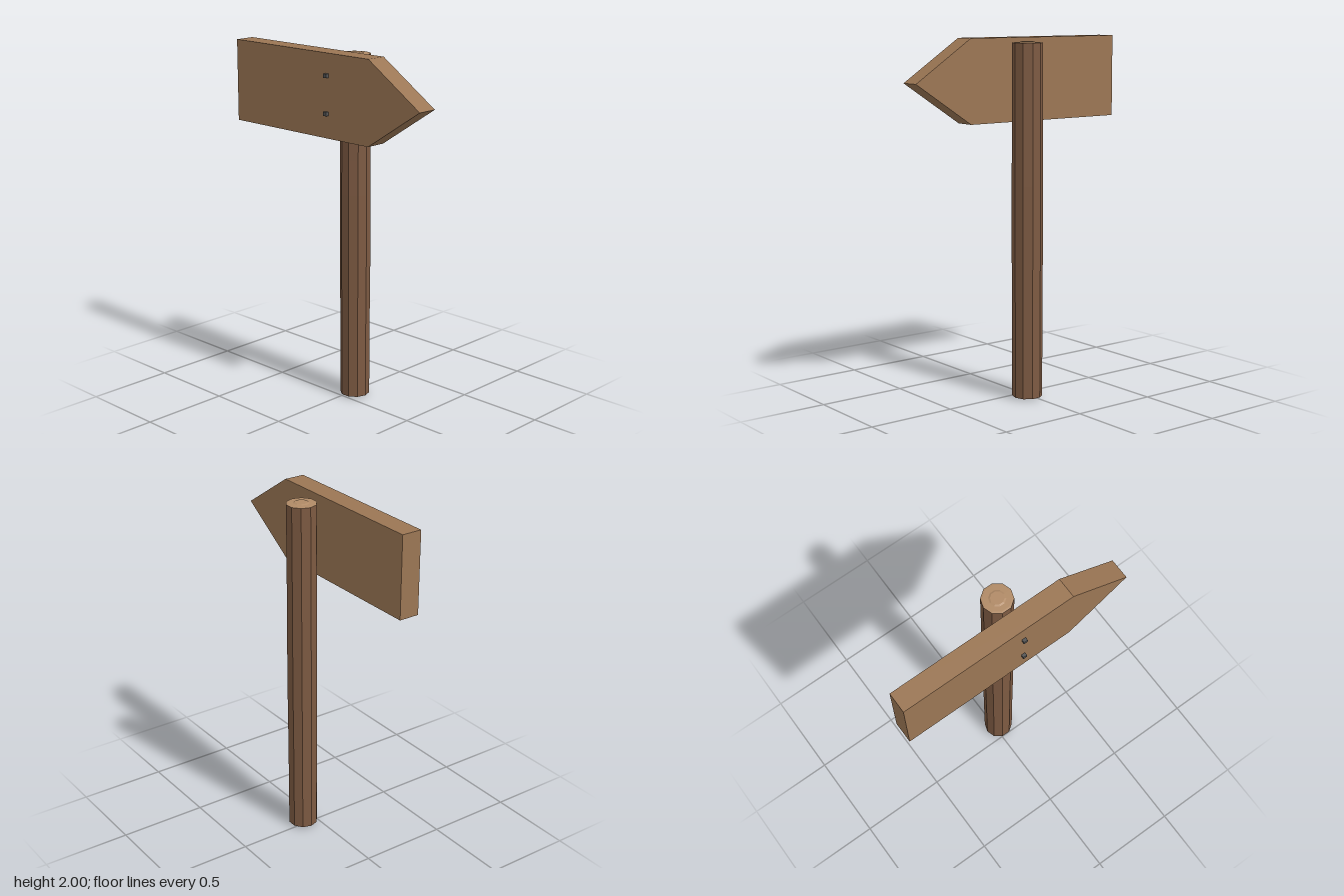
import * as THREE from 'three';

const mat = (color, side = THREE.FrontSide) =>
  new THREE.MeshStandardMaterial({ color, side, flatShading: true });

function add(parent, name, geometry, material, x = 0, y = 0, z = 0) {
  const mesh = new THREE.Mesh(geometry, material);
  mesh.name = name;
  mesh.position.set(x, y, z);
  parent.add(mesh);
  return mesh;
}

export function createModel() {
  const group = new THREE.Group();
  group.name = 'signpost';
  const bark = mat(0x7d5a42);
  const cutWood = mat(0xb08a66);
  const plank = mat(0x9b7654);
  const iron = mat(0x555555);
  const postX = 0.027, postZ = -0.079;

  // Ten-sided turned parts with a flat side facing the front
  const turned = (points) => new THREE.LatheGeometry(
    points.map(([r, y]) => new THREE.Vector2(r, y)), 10, Math.PI / 2);

  // Post, very slightly thicker in the middle
  const post = new THREE.Group();
  post.name = 'post';
  post.position.set(postX, 0, postZ);
  group.add(post);
  add(post, 'postShaft', turned([
    [0.084, 0.01], [0.0845, 0.55], [0.086, 0.8], [0.086, 1.2], [0.0845, 1.4], [0.084, 1.974],
  ]), bark);

  // Sawn ends, raised a little towards the core
  add(post, 'postTop', turned([
    [0.084, 1.974], [0.074, 1.976], [0.045, 1.977], [0.036, 1.981], [0, 1.981],
  ]), cutWood);
  add(post, 'postBottom', turned([
    [0, 0], [0.036, 0], [0.045, 0.006], [0.074, 0.008], [0.084, 0.01],
  ]), cutWood);

  // Arrow-shaped board
  const outline = new THREE.Shape([
    [-0.683, 1.54], [0.327, 1.54], [0.68, 1.77], [0.327, 2], [-0.683, 2],
  ].map(([x, y]) => new THREE.Vector2(x, y)));
  add(group, 'arrowBoard',
    new THREE.ExtrudeGeometry(outline, { depth: 0.116, bevelEnabled: false }),
    plank, 0, 0, 0.026);

  // Square nail heads
  for (const y of [1.88, 1.675]) {
    add(group, 'nail', new THREE.BoxGeometry(0.023, 0.022, 0.03), iron, postX, y, 0.145);
  }
  return group;
}
